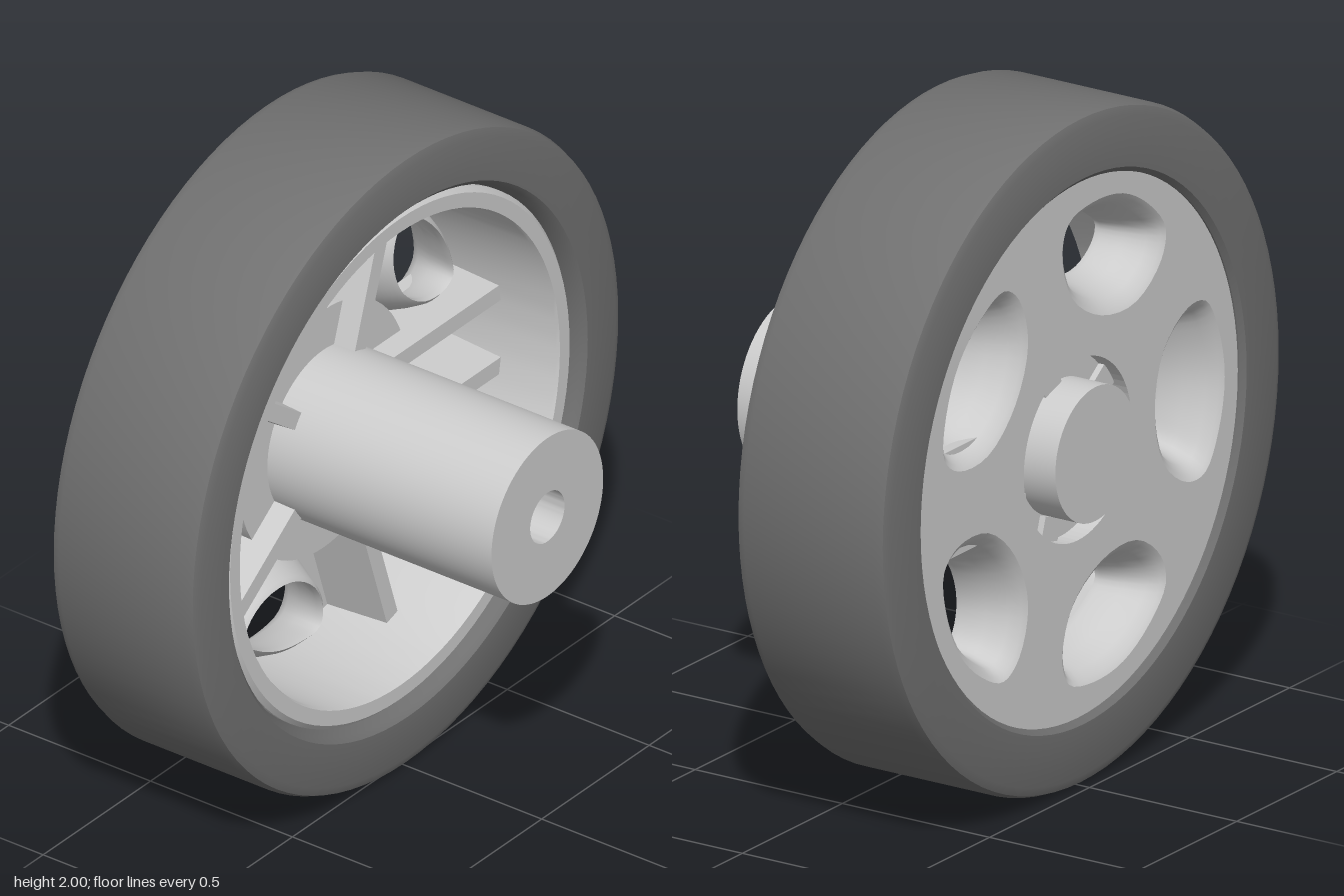
import * as THREE from 'three';
import { toCreasedNormals } from 'three/addons/utils/BufferGeometryUtils.js';

const SPOKES = 5;
const N = 40; // points around each window
const grey = new THREE.MeshStandardMaterial({ color: 0xcccccc });
const rubber = new THREE.MeshStandardMaterial({ color: 0x707070 });

function add(parent, name, geometry, material = grey) {
  const mesh = new THREE.Mesh(geometry, material);
  mesh.name = name;
  parent.add(mesh);
  return mesh;
}

// Profile of [radius, z] points spun around the z axis
function spin(points, segments = 72) {
  const g = new THREE.LatheGeometry(points.map(p => new THREE.Vector2(...p)), segments);
  g.rotateX(Math.PI / 2);
  return toCreasedNormals(g, 0.5);
}

// Closed smooth outline from half of a symmetric [radial, tangential] contour
function outline(half) {
  const mirrored = half.slice(1, -1).reverse().map(([r, t]) => [r, -t]);
  const pts = [...half, ...mirrored].map(([r, t]) => new THREE.Vector3(r, t, 0));
  return new THREE.CatmullRomCurve3(pts, true).getPoints(N).slice(0, N);
}

const windowOuter = outline([[0.735, 0], [0.705, 0.15], [0.64, 0.255], [0.55, 0.26], [0.43, 0.17], [0.385, 0]]);
const windowInner = outline([[0.66, 0], [0.645, 0.11], [0.615, 0.18], [0.565, 0.18], [0.495, 0.12], [0.46, 0]]);

// Funnel through the disc: rings blended from the outer to the inner outline
function funnelGeometry() {
  const rings = [[0, -0.46], [0.2, -0.45], [0.5, -0.42], [0.8, -0.36], [1, -0.29],
    [0.96, -0.27], [0.8, -0.28], [0.4, -0.34], [0, -0.4]];
  const pos = [], index = [];
  for (const [f, z] of rings) {
    for (let i = 0; i < N; i++) {
      const p = windowOuter[i].clone().lerp(windowInner[i], f);
      pos.push(p.x, p.y, z);
    }
  }
  for (let j = 0; j < rings.length - 1; j++) {
    for (let i = 0; i < N; i++) {
      const k = (i + 1) % N;
      const a = j * N + i, b = j * N + k, c = a + N, d = b + N;
      index.push(a, c, b, b, c, d);
    }
  }
  const g = new THREE.BufferGeometry();
  g.setAttribute('position', new THREE.Float32BufferAttribute(pos, 3));
  g.setIndex(index);
  return toCreasedNormals(g, 0.8);
}

// Disc with the five windows and the centre recess cut out
function discGeometry() {
  const shape = new THREE.Shape().absarc(0, 0, 0.77, 0, Math.PI * 2);
  shape.holes.push(new THREE.Path().absarc(0, 0, 0.27, 0, Math.PI * 2, true));
  for (let i = 0; i < SPOKES; i++) {
    const angle = (i + 0.5) * Math.PI * 2 / SPOKES;
    const pts = windowOuter.map(p => new THREE.Vector2(p.x, p.y).rotateAround(new THREE.Vector2(), angle));
    shape.holes.push(new THREE.Path(pts));
  }
  const g = new THREE.ExtrudeGeometry(shape, { depth: 0.06, bevelEnabled: false, curveSegments: 36 });
  g.translate(0, 0, -0.46);
  return g;
}

// Rib with drafted sides, wider where it meets the disc
function ribGeometry() {
  const g = new THREE.BoxGeometry(0.545, 0.052, 0.22);
  const p = g.attributes.position;
  for (let i = 0; i < p.count; i++) if (p.getZ(i) < 0) p.setY(i, p.getY(i) * 1.6);
  g.translate(0.4725, 0, -0.31);
  g.computeVertexNormals();
  return g;
}

export function createModel() {
  const model = new THREE.Group();
  model.name = 'wheel';
  model.position.y = 1;

  add(model, 'tyre', spin([
    [0.8, -0.465], [0.815, -0.48], [0.965, -0.48], [0.99, -0.47], [1, -0.445], [1, -0.005],
    [0.99, 0.02], [0.965, 0.03], [0.835, 0.03], [0.82, 0.015], [0.805, -0.03], [0.8, -0.465],
  ], 96), rubber);

  add(model, 'rimBarrel', spin([
    [0.74, -0.46], [0.805, -0.46], [0.805, -0.015], [0.79, 0], [0.745, 0], [0.74, -0.01], [0.74, -0.46],
  ], 96));

  add(model, 'disc', discGeometry());

  // Rear cap, recess floor, boss, axle sleeve and its bore
  add(model, 'hub', spin([
    [0, -0.52], [0.2, -0.52], [0.2, -0.4], [0.39, -0.4], [0.39, -0.27], [0.26, -0.27],
    [0.26, 0.52], [0.08, 0.52], [0.08, 0.05], [0, 0.05],
  ]));

  // Windows between spokes; the first spoke has twin ribs, the rest one
  const funnel = funnelGeometry(), rib = ribGeometry();
  for (let i = 0; i < SPOKES; i++) {
    const angle = i * Math.PI * 2 / SPOKES;
    add(model, 'windowFunnel', funnel).rotation.z = angle + Math.PI / SPOKES;
    const spoke = new THREE.Group();
    spoke.name = 'spoke';
    spoke.rotation.z = angle;
    for (const y of i === 0 ? [-0.12, 0.12] : [0]) add(spoke, 'rib', rib).position.y = y;
    model.add(spoke);
  }

  const group = new THREE.Group();
  group.add(model);
  return group;
}
